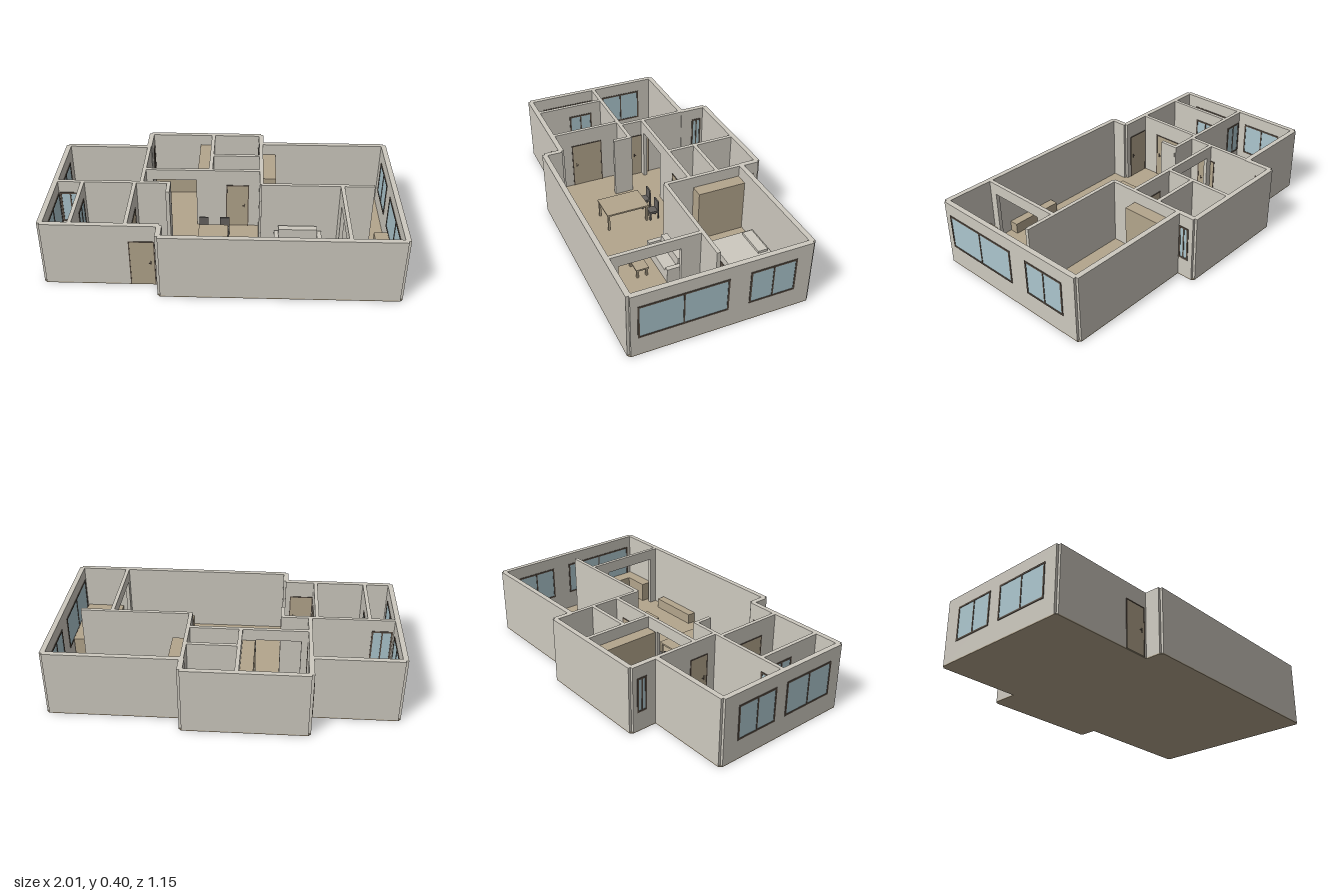
import * as THREE from 'three';

const mat = (name, color, extra = {}) => {
  const m = new THREE.MeshStandardMaterial({ color, ...extra });
  m.name = name;
  return m;
};

export function createModel() {
  const model = new THREE.Group();
  model.name = 'apartment';
  const wallMat = mat('plaster', 0xcdc9bf);
  const woodMat = mat('wood', 0xb3a58c);
  const frameMat = mat('dark frame', 0x5a4f45);
  const glassMat = mat('glass', 0xacc6ce);
  const chairMat = mat('charcoal', 0x65625f);
  const BASE = 0.006, TOP = 0.398;

  // Box given by its minimum and maximum on each axis
  const box = (name, m, x0, x1, y0, y1, z0, z1, parent = model) => {
    const mesh = new THREE.Mesh(new THREE.BoxGeometry(x1 - x0, y1 - y0, z1 - z0), m);
    mesh.position.set((x0 + x1) / 2, (y0 + y1) / 2, (z0 + z1) / 2);
    mesh.name = name;
    parent.add(mesh);
    return mesh;
  };
  // Box in a wall: axis it runs along, its line, span, heights and thickness
  const slab = (name, m, axis, at, a, b, y0, y1, t, parent = model) => axis === 'x'
    ? box(name, m, a, b, y0, y1, at - t / 2, at + t / 2, parent)
    : box(name, m, at - t / 2, at + t / 2, y0, y1, a, b, parent);

  // Floor slab
  const outline = [[-1, -0.395], [-0.985, -0.41], [-0.495, -0.41], [-0.495, -0.561], [-0.48, -0.576], [0.22, -0.576],
    [0.235, -0.561], [0.235, -0.468], [0.985, -0.468], [1, -0.453], [1, 0.561], [0.985, 0.576],
    [-0.335, 0.576], [-0.35, 0.561], [-0.35, 0.472], [-0.985, 0.472], [-1, 0.457]];
  const floorGeo = new THREE.ExtrudeGeometry(
    new THREE.Shape(outline.map(([x, z]) => new THREE.Vector2(x, -z))), { depth: BASE, bevelEnabled: false });
  floorGeo.rotateX(-Math.PI / 2);
  const floor = new THREE.Mesh(floorGeo, woodMat);
  floor.name = 'floor';
  model.add(floor);

  // Outer walls: axis, line, start, end
  [
    ['z', -0.985, -0.395, 0.457], ['x', -0.395, -0.985, -0.48], ['z', -0.48, -0.561, -0.395],
    ['x', -0.561, -0.48, 0.22], ['z', 0.22, -0.561, -0.453], ['x', -0.453, 0.22, 0.985],
    ['z', 0.985, -0.453, 0.561], ['x', 0.561, -0.335, 0.985], ['z', -0.335, 0.457, 0.561],
    ['x', 0.457, -0.985, -0.335],
  ].forEach(([axis, at, a, b]) => slab('outerWall', wallMat, axis, at, a, b, BASE, TOP, 0.03));

  // Inner walls, some with an open doorway (start, end)
  [
    ['z', -0.48, -0.395, 0.025], ['x', 0.025, -0.985, -0.31], ['z', -0.32, 0.025, 0.13],
    ['z', -0.825, 0.025, 0.457], ['z', -0.52, 0.025, 0.457], ['x', -0.125, -0.48, 0.22, -0.43, -0.17],
    ['z', -0.083, -0.561, -0.125], ['x', -0.3, -0.083, 0.22], ['z', 0.22, -0.453, 0.03],
    ['x', 0.027, 0.22, 0.875], ['z', 0.688, 0.027, 0.561, 0.15, 0.5],
  ].forEach(([axis, at, a, b, o0, o1]) => {
    const piece = (s, e, y0) => slab('innerWall', wallMat, axis, at, s, e, y0, TOP, 0.022);
    if (o0 === undefined) return piece(a, b, BASE);
    piece(a, o0, BASE);
    piece(o0, o1, 0.33);
    piece(o1, b, BASE);
  });

  // Two-pane windows, showing on both wall faces
  const addWindow = (axis, at, a, b, t = 0.03) => {
    const g = new THREE.Group(), y0 = 0.118, y1 = 0.325, w = 0.01, mid = (a + b) / 2;
    g.name = 'window';
    const bar = (s, e, lo, hi) => slab('windowFrame', frameMat, axis, at, s, e, lo, hi, t + 0.007, g);
    slab('glass', glassMat, axis, at, a + w, b - w, y0 + w, y1 - w, t + 0.002, g);
    bar(a, b, y0, y0 + w);
    bar(a, b, y1 - w, y1);
    bar(a, a + w, y0 + w, y1 - w);
    bar(b - w, b, y0 + w, y1 - w);
    bar(mid - 0.004, mid + 0.004, y0 + w, y1 - w);
    model.add(g);
  };
  addWindow('z', 0.985, 0.025, 0.523);
  addWindow('z', 0.985, -0.362, -0.093);
  addWindow('z', 0.22, -0.533, -0.47);
  addWindow('z', -0.48, -0.533, -0.47);
  addWindow('z', -0.985, -0.3, -0.035);
  addWindow('z', -0.985, 0.04, 0.38);
  addWindow('z', -0.825, 0.1, 0.25, 0.022);
  addWindow('x', 0.025, -0.965, -0.842, 0.022);

  // Doors with frame and handle
  const addDoor = (axis, at, a, b, t) => {
    const g = new THREE.Group(), w = 0.006, top = 0.298;
    g.name = 'door';
    slab('doorLeaf', woodMat, axis, at, a + w, b - w, BASE, top - w, t + 0.003, g);
    slab('doorFrame', frameMat, axis, at, a, a + w, BASE, top, t + 0.007, g);
    slab('doorFrame', frameMat, axis, at, b - w, b, BASE, top, t + 0.007, g);
    slab('doorFrame', frameMat, axis, at, a + w, b - w, top - w, top, t + 0.007, g);
    slab('handle', frameMat, axis, at, b - 0.026, b - 0.022, 0.14, 0.165, t + 0.01, g);
    slab('handle', frameMat, axis, at, b - 0.036, b - 0.022, 0.15, 0.154, t + 0.012, g);
    model.add(g);
  };
  addDoor('x', 0.457, -0.508, -0.364, 0.03);
  addDoor('x', -0.125, 0.01, 0.147, 0.022);
  addDoor('z', -0.52, 0.145, 0.34, 0.022);
  addDoor('z', -0.48, -0.165, -0.04, 0.022);

  // Beds
  [[-0.83, -0.385], [0.442, -0.43]].forEach(([x, z]) => {
    box('bedBase', frameMat, x, x + 0.23, BASE, 0.045, z, z + 0.276);
    box('mattress', wallMat, x + 0.003, x + 0.227, 0.045, 0.09, z + 0.003, z + 0.273);
    box('pillow', wallMat, x + 0.022, x + 0.207, 0.09, 0.105, z + 0.018, z + 0.078);
  });

  // Sofa
  box('sofaSeat', wallMat, 0.325, 0.553, BASE, 0.07, 0.1, 0.175);
  box('sofaBack', wallMat, 0.325, 0.553, BASE, 0.13, 0.06, 0.1);
  [0.3, 0.553].forEach(x => box('sofaArm', wallMat, x, x + 0.027, BASE, 0.095, 0.06, 0.175));

  // Tables: top on four legs
  const table = (name, x0, x1, z0, z1, h) => {
    box(name + 'Top', woodMat, x0, x1, h - 0.01, h, z0, z1);
    for (const x of [x0 + 0.004, x1 - 0.016]) for (const z of [z0 + 0.004, z1 - 0.016])
      box(name + 'Leg', woodMat, x, x + 0.012, BASE, h - 0.01, z, z + 0.012);
  };
  table('diningTable', -0.147, 0.027, 0.048, 0.31, 0.12);
  table('coffeeTable', 0.362, 0.485, 0.243, 0.318, 0.065);
  table('desk', -0.68, -0.568, 0.357, 0.425, 0.11);

  // Dining chairs
  [-0.15, -0.024].forEach(x => {
    box('chairSeat', chairMat, x, x + 0.056, 0.05, 0.065, -0.018, 0.04);
    box('chairBack', chairMat, x, x + 0.056, 0.065, 0.13, -0.018, -0.01);
    for (const dx of [0, 0.048]) for (const z of [-0.018, 0.032])
      box('chairLeg', chairMat, x + dx, x + dx + 0.008, BASE, 0.05, z, z + 0.008);
  });

  // Built-in furniture: name, x0, x1, top, z0, z1
  [
    ['wardrobe', 0.233, 0.31, 0.33, -0.435, -0.143], ['wardrobe', -0.167, -0.094, 0.33, -0.545, -0.143],
    ['lowCabinet', -0.46, -0.167, 0.13, -0.545, -0.48], ['mediaConsole', 0.262, 0.585, 0.07, 0.49, 0.543],
    ['bathtub', -0.035, 0.203, 0.09, -0.538, -0.453], ['washCabinet', -0.067, 0, 0.12, -0.26, -0.168],
    ['kitchenCounter', 0.885, 0.965, 0.13, 0.112, 0.543], ['kitchenCounter', 0.732, 0.885, 0.13, 0.472, 0.543],
  ].forEach(([name, x0, x1, h, z0, z1]) => box(name, woodMat, x0, x1, BASE, h, z0, z1));

  return model;
}
